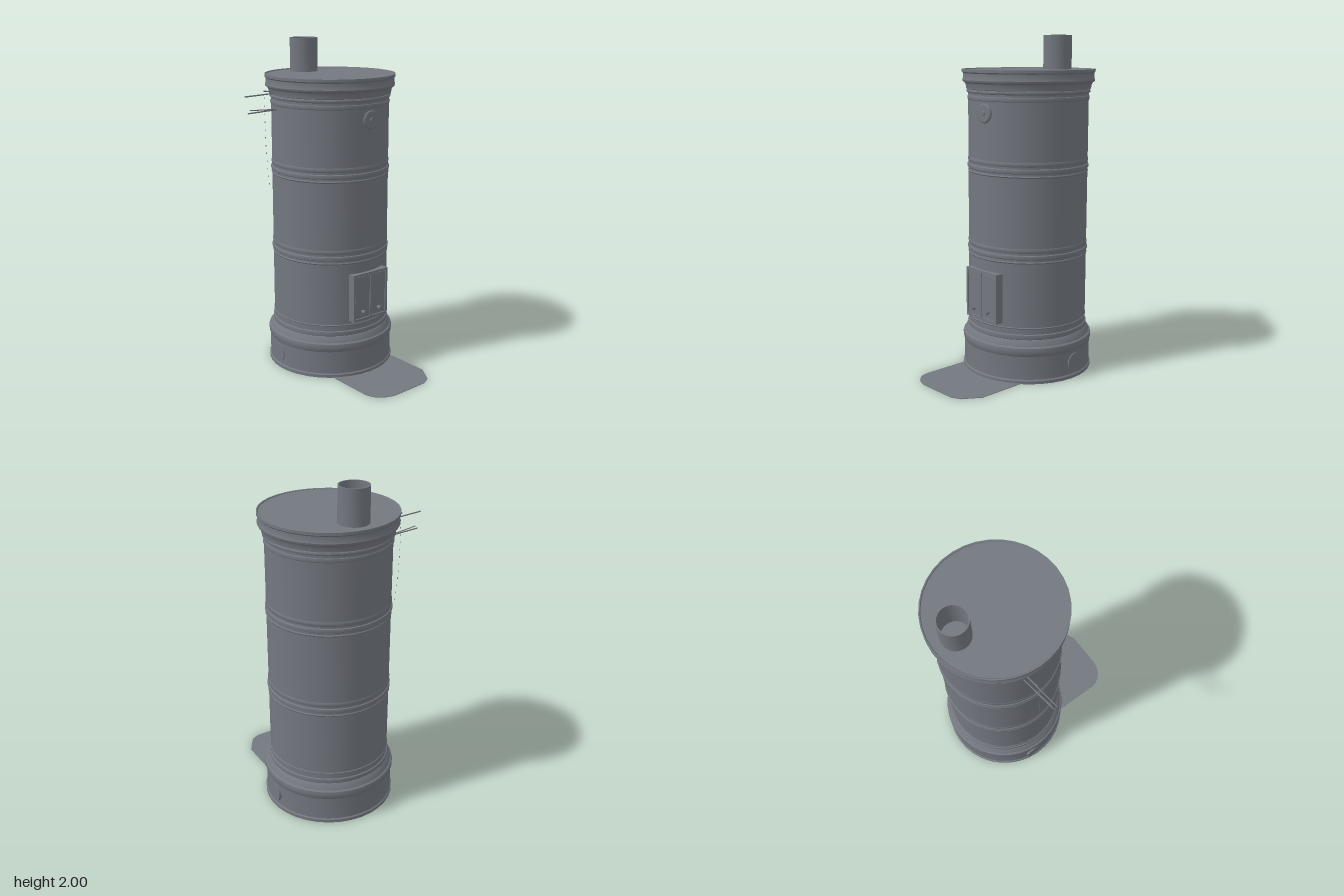
import * as THREE from 'three';
import { toCreasedNormals } from 'three/addons/utils/BufferGeometryUtils.js';

export function createModel() {
  const model = new THREE.Group();
  const iron = new THREE.MeshStandardMaterial({ color: 0x73777f, side: THREE.DoubleSide });
  iron.name = 'greyIron';
  const CX = 0.093, CZ = -0.163;

  function add(name, geometry, x = 0, y = 0, z = 0, parent = model) {
    const mesh = new THREE.Mesh(geometry, iron);
    mesh.name = name;
    mesh.position.set(x, y, z);
    parent.add(mesh);
    return mesh;
  }
  function lathe(points, segments = 36) {
    const pts = points.map(([r, y]) => new THREE.Vector2(r, y));
    return toCreasedNormals(new THREE.LatheGeometry(pts, segments), 0.45);
  }
  // Straight rod between two points
  function rod(name, a, b, radius) {
    const from = new THREE.Vector3(...a), to = new THREE.Vector3(...b);
    return add(name, new THREE.TubeGeometry(new THREE.LineCurve3(from, to), 1, radius, 6));
  }

  // Plinth with rounded shoulder
  add('base', lathe([
    [0, 0], [0.392, 0], [0.392, 0.018], [0.385, 0.025], [0.385, 0.165], [0.39, 0.175],
    [0.393, 0.2], [0.39, 0.215], [0.38, 0.222], [0.372, 0.242], [0.36, 0.256], [0, 0.256],
  ]), CX, 0, CZ);

  // Drum
  add('body', lathe([[0.356, 0.25], [0.356, 1.75]]), CX, 0, CZ);

  // Raised bands around the drum
  function band(name, y0, y1, r) {
    add(name, lathe([[0.354, y0], [r - 0.002, y0 + 0.005], [r, (y0 + y1) / 2],
      [r - 0.002, y1 - 0.005], [0.354, y1]]), CX, 0, CZ);
  }
  band('bottomBand', 0.255, 0.29, 0.364);
  band('bottomBand', 0.318, 0.332, 0.36);
  for (const y of [0.705, 1.2]) {
    band('jointBand', y, y + 0.018, 0.36);
    band('jointBand', y + 0.025, y + 0.055, 0.363);
    band('jointBand', y + 0.062, y + 0.095, 0.359);
  }
  band('topBand', 1.625, 1.655, 0.361);
  band('topBand', 1.665, 1.69, 0.366);

  // Flared cornice and lid
  add('lid', lathe([
    [0.355, 1.685], [0.368, 1.69], [0.37, 1.71], [0.376, 1.724], [0.388, 1.732], [0.391, 1.742],
    [0.386, 1.755], [0.386, 1.78], [0.393, 1.787], [0.393, 1.803], [0.386, 1.803], [0.382, 1.797], [0, 1.797],
  ]), CX, 0, CZ);

  // Open flue pipe
  add('fluePipe', lathe([[0.086, 1.795], [0.086, 2], [0.079, 2], [0.079, 1.795]], 24), 0.085, 0, -0.41);

  // Floor plate in front of the stove
  const plate = new THREE.Shape();
  plate.moveTo(-0.14, -0.05);
  plate.lineTo(0.35, -0.05);
  plate.lineTo(0.358, 0.42);
  plate.lineTo(0.295, 0.525);
  plate.lineTo(0.24, 0.553);
  plate.lineTo(0, 0.56);
  plate.bezierCurveTo(-0.08, 0.55, -0.13, 0.5, -0.135, 0.44);
  plate.closePath();
  const plateGeometry = new THREE.ExtrudeGeometry(plate, { depth: 0.003, bevelEnabled: false, curveSegments: 8 });
  plateGeometry.rotateX(Math.PI / 2);
  add('floorPlate', plateGeometry, 0, 0.003, 0);

  // Fire door: frame, two leaves and knobs
  const door = new THREE.Group();
  door.name = 'fireDoor';
  door.position.set(0.103, 0.497, 0);
  model.add(door);
  add('doorBack', new THREE.BoxGeometry(0.25, 0.28, 0.035), 0, 0, 0.185, door);
  for (const s of [-1, 1]) {
    add('frameRail', new THREE.BoxGeometry(0.268, 0.014, 0.05), 0, s * 0.141, 0.19, door);
    add('frameStile', new THREE.BoxGeometry(0.014, 0.29, 0.05), s * 0.127, 0, 0.19, door);
    add('doorLeaf', new THREE.BoxGeometry(0.112, 0.262, 0.012), s * 0.061, 0, 0.206, door);
    const knob = add('doorKnob', new THREE.CylinderGeometry(0.013, 0.01, 0.028, 12), s * 0.063, -0.092, 0.225, door);
    knob.rotation.x = Math.PI / 2;
  }
  add('centreStrip', new THREE.BoxGeometry(0.012, 0.268, 0.02), 0, 0, 0.208, door);

  // Round vent on the upper front
  const vent = add('frontVent', lathe([[0.057, -0.02], [0.057, 0.004], [0.05, 0.009], [0.015, 0.009], [0.012, 0.014], [0, 0.014]], 16),
    0.11, 1.56, 0.191);
  vent.rotation.x = Math.PI / 2;

  // Cleaning covers on both sides of the plinth
  for (const s of [-1, 1]) {
    const cover = add('cleaningCover', new THREE.CylinderGeometry(0.055, 0.055, 0.02, 20), CX + s * 0.38, 0.095, -0.193);
    cover.rotation.z = Math.PI / 2;
  }

  // Damper levers with their catches
  rod('upperLever', [-0.25, 1.702, -0.232], [-0.495, 1.702, -0.196], 0.004);
  rod('upperCatch', [-0.28, 1.71, -0.228], [-0.352, 1.722, -0.218], 0.004);
  rod('lowerLever', [-0.24, 1.605, -0.234], [-0.475, 1.605, -0.199], 0.004);
  rod('lowerCatch', [-0.25, 1.607, -0.232], [-0.46, 1.621, -0.201], 0.003);

  // Fine pull chain, as separate tiny links
  for (let i = 0; i < 12; i++) {
    const t = i / 11;
    add('chainLink', new THREE.BoxGeometry(0.003, 0.008, 0.003),
      -0.345 - 0.01 * Math.sin(t * Math.PI), 1.18 + 0.5 * t, -0.188 - 0.03 * t);
  }
  return model;
}
